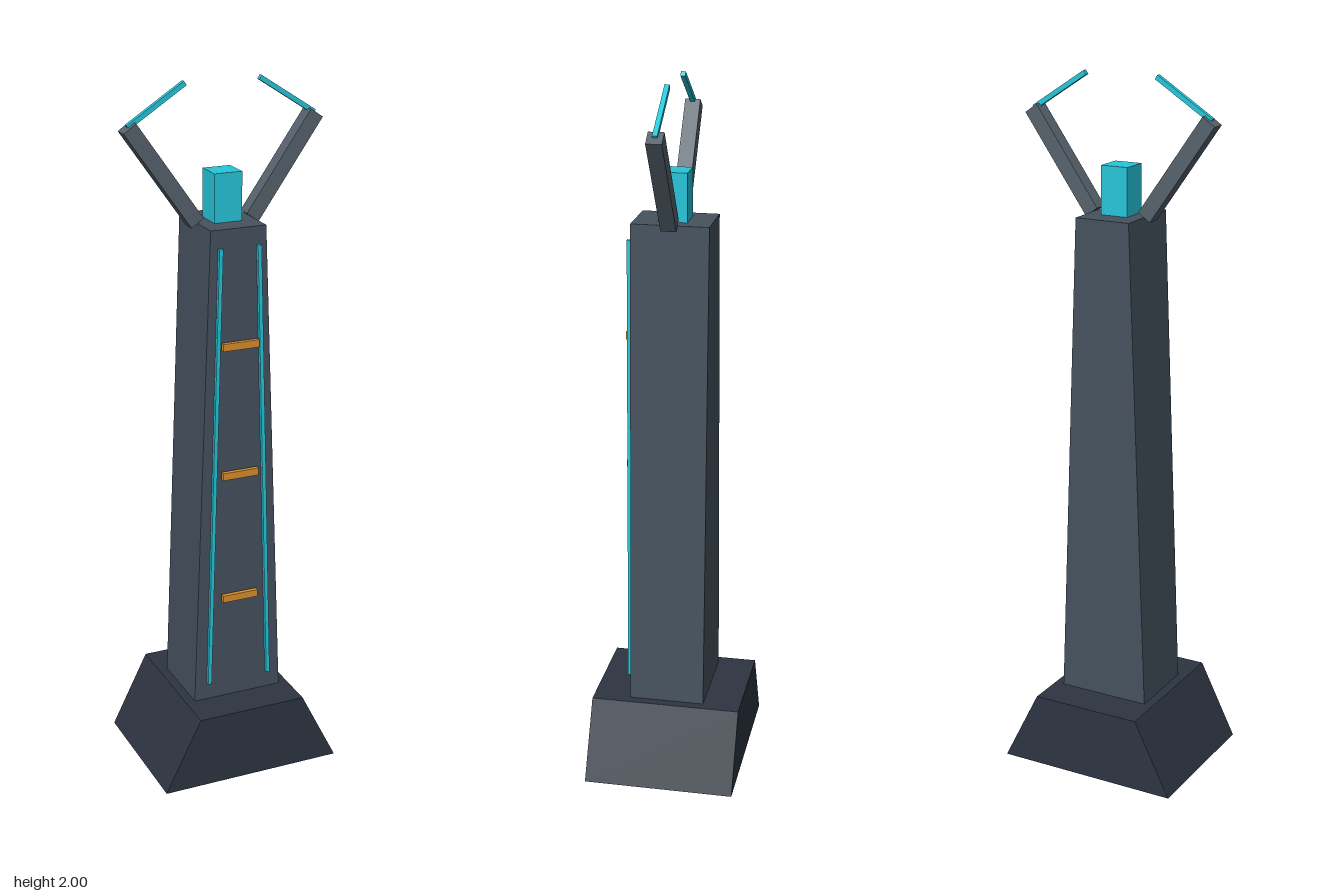
import * as THREE from 'three';

const mat = (color) => new THREE.MeshStandardMaterial({ color, flatShading: true });

export function createModel() {
  const model = new THREE.Group();
  const dark = mat(0x2d3542), steel = mat(0x46525e), armSteel = mat(0x56626d);
  const glow = mat(0x26c6da), amber = mat(0xd9902f);

  const add = (name, geometry, material) => {
    const mesh = new THREE.Mesh(geometry, material);
    mesh.name = name;
    model.add(mesh);
    return mesh;
  };

  // Trapezoid in x, constant depth in z
  const taper = (name, bottom, top, y0, y1, depth, material) => {
    const geo = new THREE.BoxGeometry(2, y1 - y0, depth);
    const p = geo.attributes.position;
    for (let i = 0; i < p.count; i++) p.setX(i, p.getX(i) * (p.getY(i) > 0 ? top : bottom));
    geo.computeVertexNormals();
    add(name, geo, material).position.y = (y0 + y1) / 2;
  };

  // Square-ended bar between two points in the xy plane
  const bar = (name, [x0, y0], [x1, y1], width, depth, z, material) => {
    const geo = new THREE.BoxGeometry(width, Math.hypot(x1 - x0, y1 - y0), depth);
    const mesh = add(name, geo, material);
    mesh.position.set((x0 + x1) / 2, (y0 + y1) / 2, z);
    mesh.rotation.z = -Math.atan2(x1 - x0, y1 - y0);
  };

  taper('base', 0.27, 0.162, 0, 0.216, 0.432, dark);
  taper('tower', 0.135, 0.081, 0.216, 1.62, 0.216, steel);

  // Glowing core on top of the tower
  add('core', new THREE.BoxGeometry(0.081, 0.135, 0.081), glow).position.y = 1.6875;

  // Mirrored arms, prongs and light strips
  for (const [side, s] of [['left', 1], ['right', -1]]) {
    bar(side + 'Arm', [s * 0.081, 1.62], [s * 0.27, 1.89], 0.043, 0.043, 0, armSteel);
    bar(side + 'Prong', [s * 0.27, 1.89], [s * 0.108, 1.994], 0.0135, 0.0135, 0, glow);
    bar(side + 'LightStrip', [s * 0.093, 0.27], [s * 0.056, 1.57], 0.0108, 0.0108, 0.117, glow);
  }

  // Amber bands across the front
  for (const y of [0.54, 0.919, 1.297]) {
    add('frontBand', new THREE.BoxGeometry(0.107, 0.021, 0.0135), amber).position.set(0, y, 0.1225);
  }
  return model;
}
